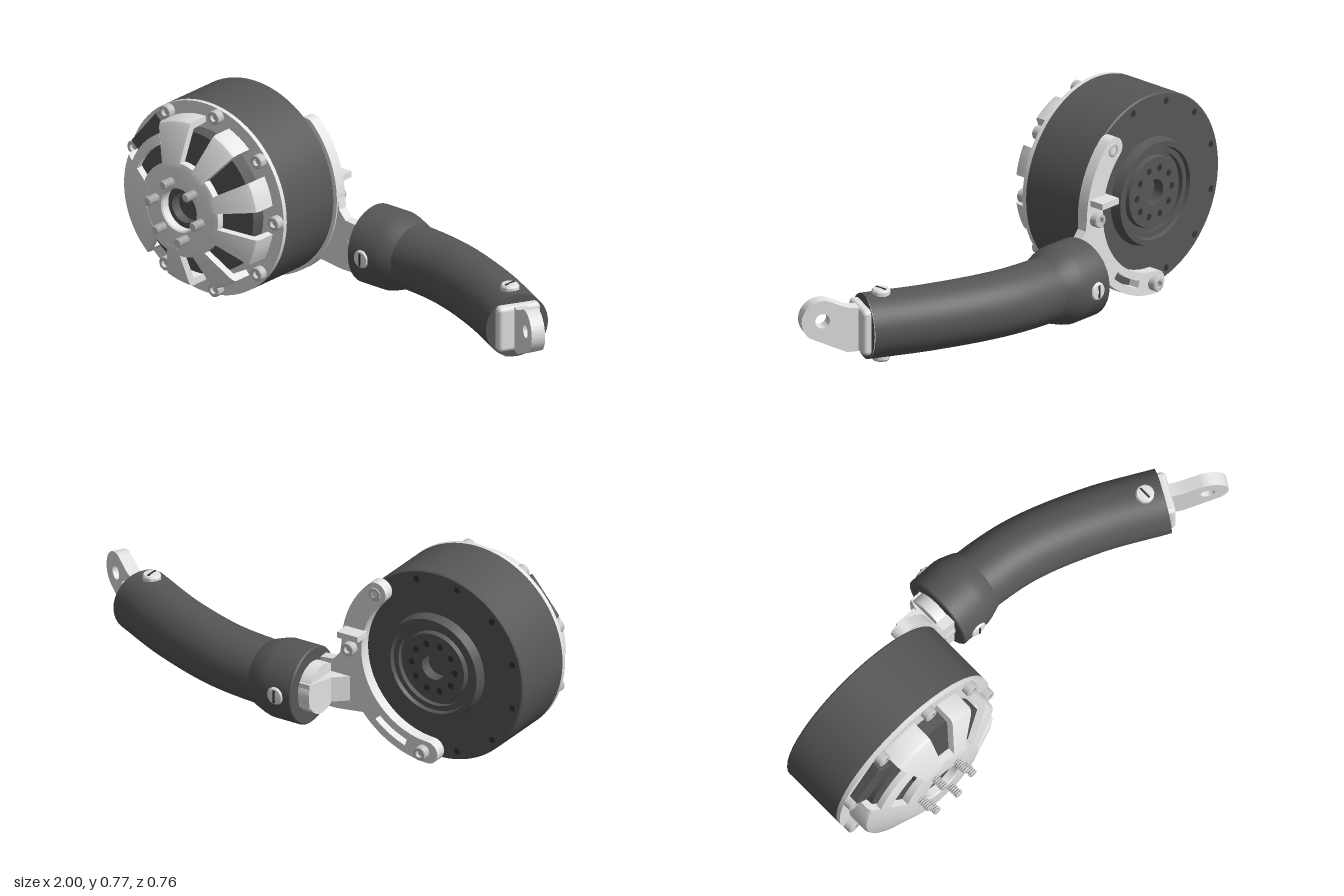
import * as THREE from 'three';
import { toCreasedNormals } from 'three/addons/utils/BufferGeometryUtils.js';
import { RoundedBoxGeometry } from 'three/addons/geometries/RoundedBoxGeometry.js';

const D = Math.PI / 180;

function paint(name, color, side = THREE.FrontSide) {
  const m = new THREE.MeshStandardMaterial({ color, side });
  m.name = name;
  return m;
}

export function createModel() {
  const root = new THREE.Group();
  const dark = paint('dark grey', 0x575757, THREE.DoubleSide);
  const black = paint('black', 0x333333);
  const silver = paint('silver', 0xe4e4e4, THREE.DoubleSide);
  const steel = paint('steel', 0xc6c6c6, THREE.DoubleSide);

  const add = (parent, name, geo, mat, x = 0, y = 0, z = 0) => {
    const m = new THREE.Mesh(geo, mat);
    m.name = name;
    m.position.set(x, y, z);
    parent.add(m);
    return m;
  };
  // profile [radius, z] turned about the z axis, angles in degrees from +x
  const turned = (profile, from = 0, to = 360, seg = 72) => {
    const n = Math.max(3, Math.round(seg * (to - from) / 360));
    const g = new THREE.LatheGeometry(profile.map(p => new THREE.Vector2(...p)), n, (from + 90) * D, (to - from) * D);
    return toCreasedNormals(g.rotateX(Math.PI / 2), 0.5);
  };
  const extrude = (shape, depth) => toCreasedNormals(
    new THREE.ExtrudeGeometry(shape, { depth, curveSegments: 24, bevelEnabled: false }), 0.5);
  const polygon = pts => new THREE.Shape(pts.map(p => new THREE.Vector2(...p)));
  const polar = (r, deg) => [r * Math.cos(deg * D), r * Math.sin(deg * D)];

  // ---- motor ----
  const motor = new THREE.Group();
  motor.name = 'motor';
  motor.position.set(-0.622, 0.395, 0);
  root.add(motor);

  add(motor, 'motorBody', turned([[0.001, -0.1], [0.05, -0.1], [0.05, -0.145], [0.135, -0.145], [0.14, -0.125],
    [0.155, -0.125], [0.155, -0.145], [0.175, -0.145], [0.18, -0.16], [0.2, -0.16], [0.21, -0.121],
    [0.374, -0.121], [0.379, -0.116], [0.379, 0.15], [0.001, 0.15]], 0, 360, 96), dark);
  add(motor, 'flange', turned([[0.28, 0.15], [0.379, 0.15], [0.379, 0.168], [0.28, 0.168], [0.28, 0.15]], 0, 360, 96), silver);
  add(motor, 'stator', turned([[0.28, 0.15], [0.28, 0.225], [0.14, 0.225], [0.075, 0.225], [0.075, 0.29],
    [0.06, 0.29], [0.06, 0.25], [0.001, 0.25]]), dark);

  // holes on the back
  const hole = new THREE.CircleGeometry(0.013, 16).rotateY(Math.PI);
  for (let i = 0; i < 12; i++) add(motor, 'rimHole', hole, black, ...polar(0.345, i * 30 + 15), -0.123);
  for (let i = 0; i < 10; i++) add(motor, 'hubHole', hole, black, ...polar(0.095, i * 36), -0.147);

  // front cage: hub plus bent spokes with open windows between them
  const spoke = [[0.33, 0.167], [0.33, 0.242], [0.324, 0.255], [0.31, 0.264], [0.18, 0.319], [0.16, 0.322],
    [0.16, 0.298], [0.3, 0.237], [0.306, 0.167], [0.33, 0.167]];
  const cageSector = (name, profile, from, to) => {
    add(motor, name, turned(profile, from, to), silver);
    for (const a of [from, to]) {
      const cap = new THREE.ShapeGeometry(polygon(profile.slice(0, -1)));
      add(motor, 'spokeSide', cap.rotateX(Math.PI / 2).rotateZ(a * D), silver);
    }
  };
  for (const [a, b] of [[10, 30], [50, 70], [90, 118], [158, 230], [250, 270], [290, 310], [330, 350]])
    cageSector('cageSpoke', spoke, a, b);
  cageSector('cageBridge', [[0.29, 0.25], [0.29, 0.273], [0.25, 0.29], [0.25, 0.266], [0.29, 0.25]], 118, 158);
  add(motor, 'cageHub', turned([[0.186, 0.287], [0.186, 0.3165], [0.168, 0.321], [0.088, 0.322], [0.083, 0.317],
    [0.083, 0.285], [0.186, 0.287]]), silver);

  // cable connector in the cage gap
  const plug = add(motor, 'connector', new RoundedBoxGeometry(0.075, 0.19, 0.045, 2, 0.008), dark, ...polar(0.315, 140), 0.188);
  plug.rotation.z = 140 * D;

  // socket screws round the flange
  const screwHead = turned([[0.027, 0], [0.027, 0.028], [0.024, 0.031], [0.014, 0.031], [0.014, 0.015], [0.001, 0.015]], 0, 360, 24);
  for (let i = 0; i < 9; i++) add(motor, 'flangeScrew', screwHead, steel, ...polar(0.352, i * 40), 0.168);

  // threaded studs on the hub
  const thread = [[0.013, 0]];
  for (let i = 0; i < 6; i++) thread.push([0.018, 0.004 + i * 0.009], [0.013, 0.0085 + i * 0.009]);
  thread.push([0.01, 0.054], [0.001, 0.054]);
  const stud = turned(thread, 0, 360, 16);
  for (let i = 0; i < 6; i++) add(motor, 'stud', stud, steel, ...polar(0.112, i * 60 - 11), 0.32);

  // ---- bracket behind the motor ----
  const arc = new THREE.Shape();
  const a0 = -88 * D, a1 = 46 * D, mid = 0.347, w = 0.044;
  arc.absarc(0, 0, mid + w, a0, a1, false);
  arc.absarc(...polar(mid, 46), w, a1, a1 + Math.PI, false);
  arc.absarc(0, 0, mid - w, a1, a0, true);
  arc.absarc(...polar(mid, -88), w, a0 + Math.PI, a0 + 2 * Math.PI, false);
  const slot = new THREE.Path();
  slot.absarc(0, 0, mid + 0.014, -72 * D, -48 * D, false);
  slot.absarc(0, 0, mid - 0.014, -48 * D, -72 * D, true);
  arc.holes.push(slot);
  add(motor, 'bracketArc', extrude(arc, 0.046), silver, 0, 0, -0.168);
  for (const [a, z] of [[-85, -0.168], [0, -0.168], [45, -0.14]])
    add(motor, 'bracketScrew', screwHead, steel, ...polar(mid, a), z).rotation.y = Math.PI;
  add(root, 'bracketTab', new THREE.BoxGeometry(0.09, 0.024, 0.065), silver, -0.295, 0.465, -0.196);

  // neck fanning out from the arc to the tube
  add(root, 'neckPlate', extrude(polygon([[-0.13, 0.125], [-0.13, 0.318], [-0.195, 0.325], [-0.225, 0.36], [-0.238, 0.45],
    [-0.3, 0.42], [-0.35, 0.22], [-0.33, 0.14], [-0.21, 0.125]]), 0.04), silver, 0, 0, -0.168);
  const gusset = extrude(polygon([[-0.29, 0.15], [-0.13, 0.15], [-0.13, 0.315], [-0.185, 0.315], [-0.215, 0.215]]), 0.1);
  add(root, 'neckGusset', gusset.rotateX(-Math.PI / 2), silver, 0, 0.172, 0).scale.z = -1;
  root.getObjectByName('neckGusset').scale.z = 1;
  add(root, 'neckPlug', new THREE.CylinderGeometry(0.098, 0.098, 0.06, 40).rotateZ(Math.PI / 2), silver, -0.155, 0.222, -0.222);

  // ---- curved tube ----
  const path = new THREE.CatmullRomCurve3([[-0.1, -0.222], [0.03, -0.22], [0.26, -0.19], [0.53, -0.095], [0.773, 0.028]]
    .map(([x, z]) => new THREE.Vector3(x, 0.222, z)));
  add(root, 'tube', new THREE.TubeGeometry(path, 48, 0.124, 48), dark);
  const collar = turned([[0.1, 0], [0.147, 0], [0.152, 0.005], [0.152, 0.12], [0.146, 0.145], [0.13, 0.19], [0.118, 0.21]]);
  add(root, 'collar', collar.rotateY(Math.PI / 2), dark, -0.138, 0.222, -0.222);
  add(root, 'collarFace', new THREE.CircleGeometry(0.148, 48).rotateY(-Math.PI / 2), dark, -0.137, 0.222, -0.222);

  // slotted button screws, axis along +z before turning
  const button = turned([[0.035, -0.02], [0.035, 0.008], [0.03, 0.015], [0.001, 0.018]], 0, 360, 28);
  const slotted = (x, y, z, rx) => {
    const g = new THREE.Group();
    g.name = 'tubeScrew';
    g.position.set(x, y, z);
    g.rotation.x = rx;
    add(g, 'screwHead', button, silver);
    add(g, 'screwSlot', new THREE.BoxGeometry(0.008, 0.05, 0.006), black, 0, 0, 0.0155);
    root.add(g);
  };
  slotted(-0.07, 0.222, -0.08, 0);
  slotted(-0.07, 0.222, -0.364, Math.PI);
  slotted(0.713, 0.348, -0.003, -Math.PI / 2);
  slotted(0.713, 0.096, -0.003, Math.PI / 2);

  // ---- end fitting ----
  const end = new THREE.Group();
  end.name = 'endFitting';
  end.position.set(0.773, 0.222, 0.028);
  end.rotation.y = -28 * D;
  root.add(end);
  add(end, 'tubeEnd', new THREE.CircleGeometry(0.124, 48).rotateY(Math.PI / 2), dark);
  add(end, 'endBlock', new RoundedBoxGeometry(0.07, 0.18, 0.17, 3, 0.018), silver, -0.003, 0, 0);

  // tapered lug with an eye
  const lug = new THREE.Shape();
  lug.moveTo(-0.03, 0.085);
  lug.lineTo(-0.03, -0.085);
  lug.lineTo(0.025, -0.085);
  lug.absarc(0.12, 0.048, 0.08, -55 * D, 105 * D, false);
  lug.lineTo(0.02, 0.09);
  const eye = new THREE.Path();
  eye.absarc(0.12, 0.048, 0.028, 0, Math.PI * 2, true);
  lug.holes.push(eye);
  const lugMesh = add(root, 'lug', extrude(lug, 0.052).translate(0, 0, -0.026), silver, 0.816, 0.222, 0.048);
  lugMesh.rotation.y = -32 * D;

  return root;
}
